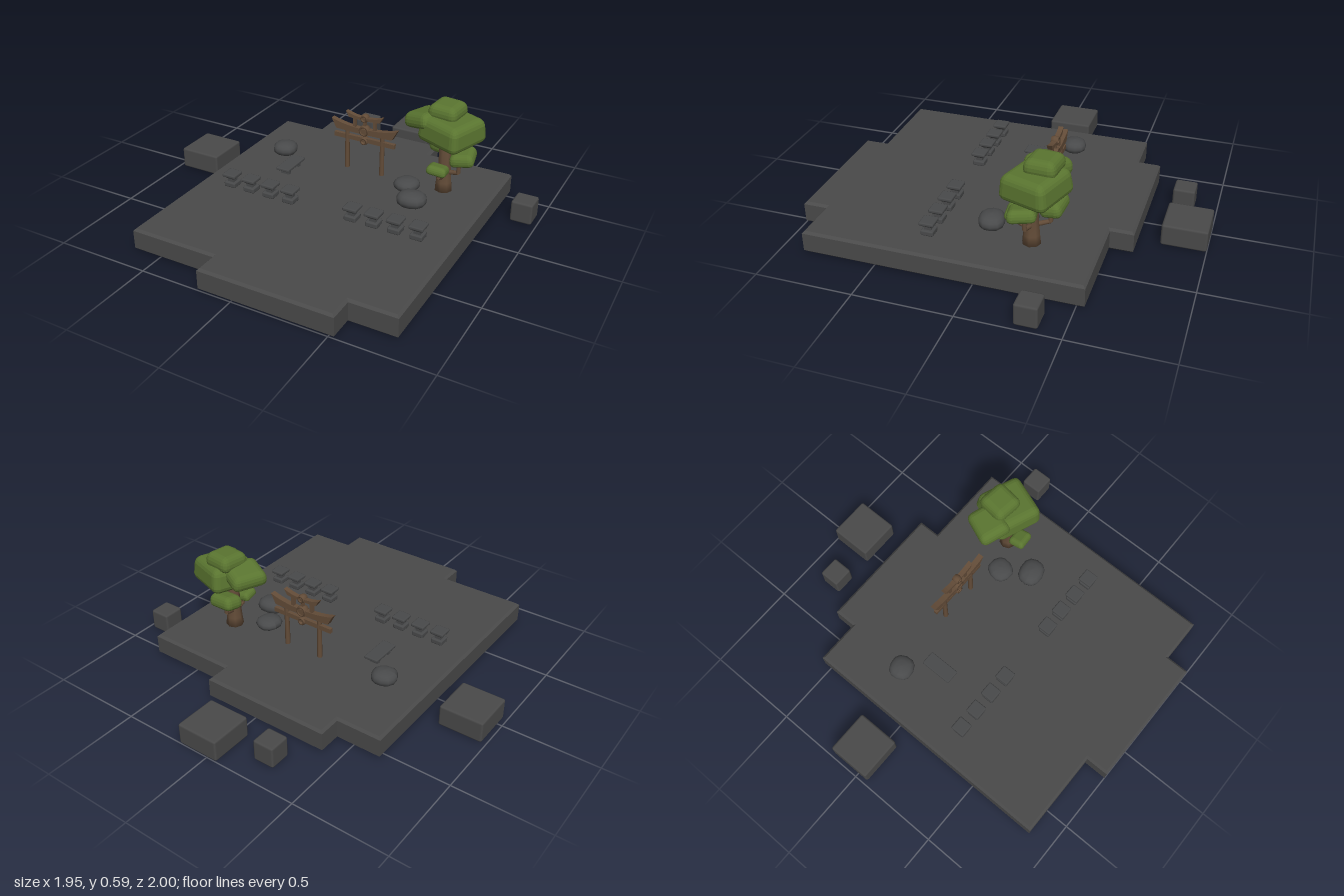
import * as THREE from 'three';
import { RoundedBoxGeometry } from 'three/addons/geometries/RoundedBoxGeometry.js';

const mat = (name, color, extra = {}) => {
  const m = new THREE.MeshStandardMaterial({ color, ...extra });
  m.name = name;
  return m;
};

export function createModel() {
  const model = new THREE.Group();
  model.name = 'shrineGarden';
  const slab = mat('slabStone', 0x4a4a4a, { side: THREE.DoubleSide });
  const stone = mat('stone', 0x494a4b);
  const wood = mat('wood', 0x634c38);
  const leaf = mat('leaf', 0x5a7530);
  const GROUND = 0.12;

  const add = (parent, name, geo, m, x = 0, y = 0, z = 0) => {
    const mesh = new THREE.Mesh(geo, m);
    mesh.name = name;
    mesh.position.set(x, y, z);
    parent.add(mesh);
    return mesh;
  };
  const group = (name, x = 0, y = 0, z = 0) => {
    const g = new THREE.Group();
    g.name = name;
    g.position.set(x, y, z);
    model.add(g);
    return g;
  };
  // Limb between two points
  const limb = (parent, name, a, b, r0, r1, m) => {
    const p = new THREE.Vector3(...a), q = new THREE.Vector3(...b);
    const d = q.clone().sub(p);
    const mesh = add(parent, name, new THREE.CylinderGeometry(r1, r0, d.length(), 8), m);
    mesh.position.copy(p.add(q).multiplyScalar(0.5));
    mesh.quaternion.setFromUnitVectors(new THREE.Vector3(0, 1, 0), d.normalize());
    return mesh;
  };

  // Platform: bevelled shell, hollow from below
  const outline = [[-0.65, -0.54], [-0.41, -0.54], [-0.41, -0.66], [0.29, -0.66], [0.29, -0.54], [0.77, -0.54],
    [0.77, 0.875], [0.53, 0.875], [0.53, 1], [-0.18, 1], [-0.18, 0.875], [-0.65, 0.875]];
  const bevel = 0.012;
  let base = new THREE.ExtrudeGeometry(new THREE.Shape(outline.map(([x, z]) => new THREE.Vector2(x, -z))), {
    depth: GROUND - 2 * bevel, bevelThickness: bevel, bevelSize: bevel, bevelOffset: -bevel, bevelSegments: 1,
  }).rotateX(-Math.PI / 2).translate(0, bevel, 0).toNonIndexed();
  const src = base.attributes.position, kept = [];
  for (let i = 0; i < src.count; i += 3) {
    if ([0, 1, 2].every((k) => src.getY(i + k) < 0.001)) continue;
    for (let k = 0; k < 3; k++) kept.push(src.getX(i + k), src.getY(i + k), src.getZ(i + k));
  }
  base = new THREE.BufferGeometry();
  base.setAttribute('position', new THREE.Float32BufferAttribute(kept, 3));
  base.computeVertexNormals();
  add(model, 'platform', base, slab);

  // Loose blocks around the platform: x, z, size
  for (const [x, z, s] of [[-0.86, -0.055, 0.235], [0.057, -0.885, 0.23], [-0.24, -0.825, 0.115], [0.917, -0.325, 0.115]]) {
    add(model, 'outerBlock', new RoundedBoxGeometry(s, 0.115, s, 1, 0.011), slab, x, 0.0575, z);
  }

  // Gate
  const gate = group('gate', 0.057, 0, -0.19);
  const beam = (name, half, foot, y0, y1, tip, depth) => {
    const s = new THREE.Shape();
    s.moveTo(-foot, y0 + 0.004);
    s.quadraticCurveTo(-foot * 0.5, y0, 0, y0);
    s.quadraticCurveTo(foot * 0.5, y0, foot, y0 + 0.004);
    s.lineTo(half, tip);
    s.quadraticCurveTo(half * 0.6, y1, 0, y1);
    s.quadraticCurveTo(-half * 0.6, y1, -half, tip);
    const g = new THREE.ExtrudeGeometry(s, { depth, bevelEnabled: false, curveSegments: 6 });
    add(gate, name, g.translate(0, 0, -depth / 2), wood);
  };
  beam('mainBeam', 0.193, 0.165, 0.342, 0.372, 0.4, 0.03);
  beam('topBeam', 0.108, 0.09, 0.422, 0.437, 0.457, 0.026);
  add(gate, 'lowerBeam', new THREE.BoxGeometry(0.356, 0.025, 0.02), wood, 0, 0.307, 0);
  for (const s of [-1, 1]) {
    add(gate, 'gatePost', new THREE.CylinderGeometry(0.012, 0.014, 0.235, 8), wood, s * 0.104, 0.235, 0);
    add(gate, 'shortPost', new THREE.BoxGeometry(0.016, 0.065, 0.018), wood, s * 0.059, 0.398, 0);
  }
  for (const [y, r] of [[0.433, 0.016], [0.361, 0.024], [0.301, 0.016]]) {
    const ring = add(gate, 'gateRing', new THREE.TorusGeometry(r, 0.007, 6, 12), wood, 0, y, 0);
    ring.scale.z = 3;
  }
  add(gate, 'centreStrut', new THREE.BoxGeometry(0.014, 0.03, 0.018), wood, 0, 0.398, 0);

  // Tree
  const tree = group('tree', 0.51, 0, -0.21);
  const trunkProfile = [[0, 0.11], [0.048, 0.11], [0.042, 0.17], [0.035, 0.25], [0.034, 0.43], [0, 0.43]];
  add(tree, 'trunk', new THREE.LatheGeometry(trunkProfile.map(([r, y]) => new THREE.Vector2(r, y)), 8), wood);
  const branches = [
    [[0.02, 0.225, 0], [0.08, 0.24, 0.01], [0.085, 0.32, 0.012]],
    [[-0.01, 0.22, -0.02], [-0.025, 0.24, -0.085], [-0.03, 0.31, -0.09]],
    [[0, 0.2, 0.02], [-0.003, 0.22, 0.068], [-0.004, 0.265, 0.072]],
  ];
  for (const [a, b, c] of branches) {
    limb(tree, 'branch', a, b, 0.013, 0.011, wood);
    limb(tree, 'branchTip', b, c, 0.012, 0.01, wood);
  }
  // Leaf clumps: rounded blocks narrowed toward the top
  const clump = (x, y, z, w, h, d, rx, ry, rz) => {
    const g = new RoundedBoxGeometry(w, h, d, 2, Math.min(h * 0.4, 0.035));
    const p = g.attributes.position;
    for (let i = 0; i < p.count; i++) {
      const t = p.getY(i) / h + 0.5;
      const k = 1 - 0.2 * t * t - 0.1 * (1 - t);
      p.setX(i, p.getX(i) * k * 1.06);
      p.setZ(i, p.getZ(i) * k * 1.06);
    }
    g.computeVertexNormals();
    add(tree, 'leafClump', g, leaf, x - 0.51, y, z + 0.21).rotation.set(rx, ry, rz);
  };
  clump(0.53, 0.46, -0.235, 0.27, 0.135, 0.27, 0.03, -0.35, -0.03);
  clump(0.49, 0.548, -0.262, 0.17, 0.085, 0.17, 0.04, -0.12, 0);
  clump(0.383, 0.488, -0.25, 0.18, 0.085, 0.2, 0, -0.4, 0.22);
  clump(0.612, 0.342, -0.195, 0.13, 0.068, 0.145, 0.12, 0.2, 0.12);
  clump(0.472, 0.327, -0.308, 0.16, 0.075, 0.115, 0.15, -0.1, -0.08);
  clump(0.506, 0.27, -0.128, 0.11, 0.05, 0.095, -0.15, 0.1, -0.1);

  // Rocks: x, z, half width, height, half depth, turn
  for (const [x, z, w, h, d, turn] of [[-0.428, -0.168, 0.07, 0.068, 0.068, 0.3],
    [0.432, 0.017, 0.082, 0.073, 0.07, 0.2], [0.34, -0.125, 0.068, 0.058, 0.072, -0.3]]) {
    const g = new THREE.SphereGeometry(1, 12, 8);
    const p = g.attributes.position;
    for (let i = 0; i < p.count; i++) {
      const sq = (v) => Math.sign(v) * Math.abs(v) ** 0.85;
      p.setXYZ(i, sq(p.getX(i)) * w * 0.96, sq(p.getY(i)) * h * 0.55, sq(p.getZ(i)) * d * 0.96);
    }
    g.computeVertexNormals();
    add(model, 'rock', g, stone, x, GROUND + h * 0.45, z).rotation.y = turn;
  }

  // Bench
  const bench = group('bench', -0.3, GROUND, -0.013);
  add(bench, 'benchSeat', new RoundedBoxGeometry(0.078, 0.016, 0.175, 1, 0.005), stone, 0, 0.034, 0);
  for (const s of [-1, 1]) add(bench, 'benchLeg', new THREE.BoxGeometry(0.05, 0.03, 0.022), stone, 0, 0.013, s * 0.05);

  // Two rows of stone lanterns
  for (const x of [-0.475, -0.358, -0.24, -0.122, 0.235, 0.353, 0.471, 0.589]) {
    const lantern = group('lantern', x, GROUND, 0.283);
    add(lantern, 'lanternBase', new RoundedBoxGeometry(0.066, 0.028, 0.066, 1, 0.007), stone, 0, 0.014, 0);
    add(lantern, 'lanternNeck', new THREE.BoxGeometry(0.036, 0.03, 0.036), stone, 0, 0.04, 0);
    const flare = new THREE.CylinderGeometry(0.045, 0.03, 0.012, 4).rotateY(Math.PI / 4);
    add(lantern, 'lanternFlare', flare, stone, 0, 0.052, 0);
    add(lantern, 'lanternCap', new RoundedBoxGeometry(0.077, 0.019, 0.077, 1, 0.007), stone, 0, 0.066, 0);
  }
  return model;
}
